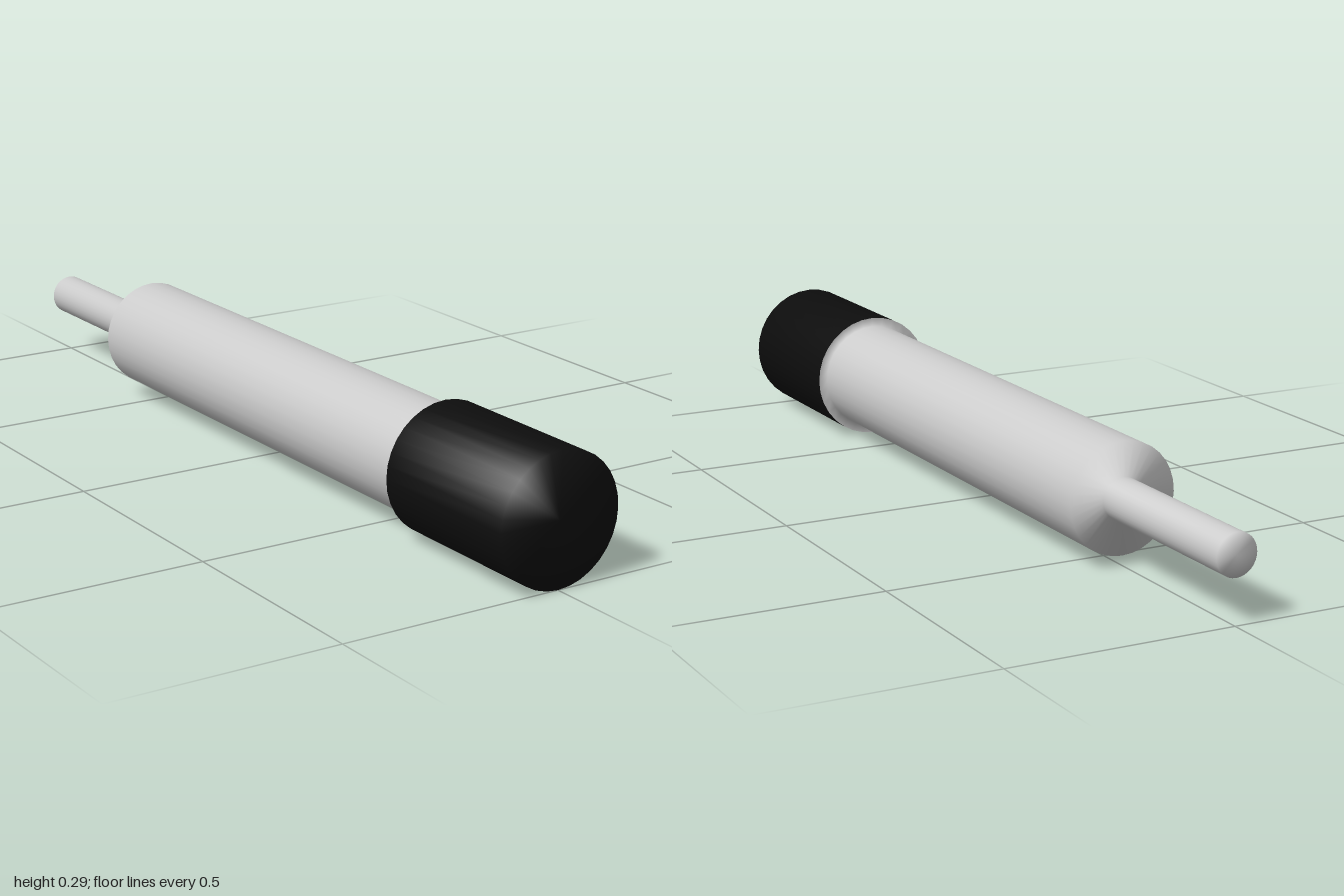
import * as THREE from 'three';

const CAP_R = 0.143, BODY_R = 0.122, ROD_R = 0.046, SIDES = 32;

// Revolves [radius, z] pairs around the z axis
function turned(name, profile, color) {
  const points = profile.map(([r, z]) => new THREE.Vector2(r, z));
  const geometry = new THREE.LatheGeometry(points, SIDES);
  geometry.rotateX(Math.PI / 2);
  const mesh = new THREE.Mesh(geometry, new THREE.MeshStandardMaterial({ color }));
  mesh.name = name;
  mesh.position.y = CAP_R;
  return mesh;
}

export function createModel() {
  const model = new THREE.Group();
  model.name = 'plunger';

  // Thin rod, thick barrel and the flange behind the cap, smoothly shaded as one piece
  model.add(turned('rodAndBarrel', [
    [0, -1], [ROD_R, -1], [ROD_R, -0.575],
    [BODY_R, -0.575], [BODY_R, 0.622], [CAP_R, 0.622],
  ], 0xcccccc));

  // Black end cap
  model.add(turned('endCap', [
    [CAP_R, 0.622], [CAP_R, 1], [0, 1],
  ], 0x0d0d0d));

  return model;
}
